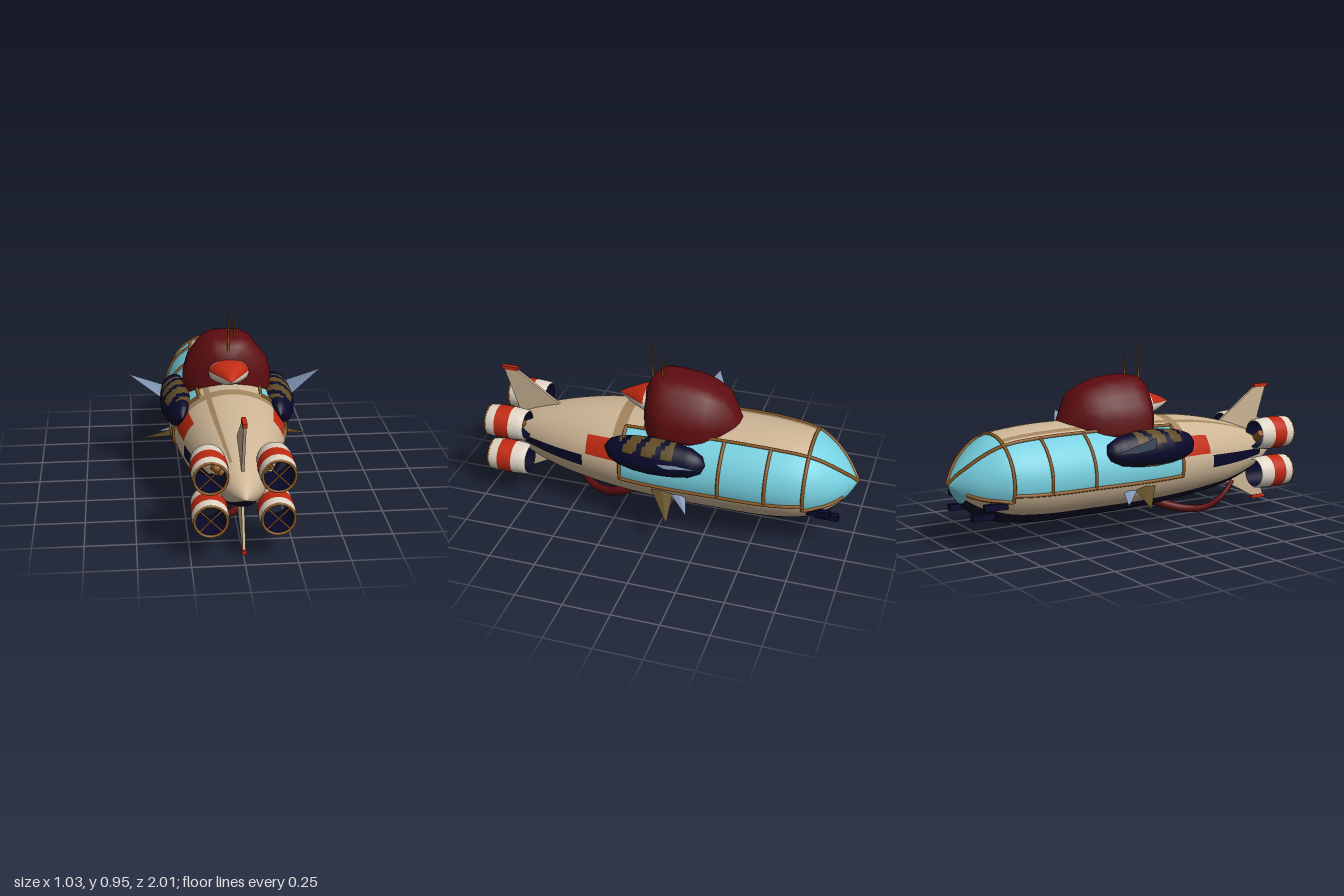
import * as THREE from 'three';
import { ConvexGeometry } from 'three/addons/geometries/ConvexGeometry.js';

const mat = (name, color, extra = {}) => Object.assign(new THREE.MeshStandardMaterial({ color, ...extra }), { name });
const range = (a, b, n) => Array.from({ length: n + 1 }, (_, i) => a + (b - a) * i / n);
const V = (x, y, z) => new THREE.Vector3(x, y, z);

export function createModel() {
  const root = new THREE.Group();
  const M = {
    cream: mat('cream', 0xcdb595), navy: mat('navy', 0x08082a), red: mat('red', 0xc02a12),
    glass: mat('glass', 0x76cfdf), maroon: mat('maroon', 0x5e0c10), bronze: mat('bronze', 0x8e5a22),
    tan: mat('tan', 0xa2845e), white: mat('white', 0xe0d6c6), olive: mat('olive', 0x5e4a24),
    steel: mat('steel', 0x8093b4),
  };
  const keys = Object.keys(M), mats = Object.values(M);

  const add = (name, geo, material, parent = root) => {
    const m = new THREE.Mesh(geo, material);
    m.name = name;
    parent.add(m);
    return m;
  };

  // Closed loft along z; paint(z, angle) names the colour of each cell
  function loft(name, zs, cols, point, paint, flat = false) {
    const pos = [], faces = {}, step = 360 / cols;
    for (const z of zs) for (let j = 0; j < cols; j++) pos.push(...point(z, -90 + j * step));
    for (let i = 0; i < zs.length - 1; i++) for (let j = 0; j < cols; j++) {
      const k = (j + 1) % cols, a = i * cols + j, b = i * cols + k, c = b + cols, d = a + cols;
      const key = paint((zs[i] + zs[i + 1]) / 2, -90 + (j + 0.5) * step);
      (faces[key] ??= []).push(a, b, c, a, c, d);
    }
    let geo = new THREE.BufferGeometry();
    geo.setAttribute('position', new THREE.Float32BufferAttribute(pos, 3));
    geo.setIndex(Object.values(faces).flat());
    if (flat) geo = geo.toNonIndexed();
    geo.computeVertexNormals();
    let start = 0;
    for (const [key, f] of Object.entries(faces)) {
      geo.addGroup(start, f.length, keys.indexOf(key));
      start += f.length;
    }
    return add(name, geo, mats);
  }
  const profile = (rows) => {
    const f = new THREE.LinearInterpolant(rows.map(r => r[0]), rows.flatMap(r => r.slice(1)), rows[0].length - 1);
    return z => Array.from(f.evaluate(z));
  };
  const smoothProfile = (rows) => {
    const f = new THREE.CubicInterpolant(rows.map(r => r[0]), rows.flatMap(r => r.slice(1)), rows[0].length - 1);
    return z => Array.from(f.evaluate(z));
  };
  const tube = (name, pts, r, material, n = 24) =>
    add(name, new THREE.TubeGeometry(new THREE.CatmullRomCurve3(pts), n, r, 6), material);

  // Hull: z, half width, top, bottom
  const hullAt = smoothProfile([
    [-1, 0, .325, .325], [-.97, .055, .375, .265], [-.93, .12, .425, .215], [-.88, .175, .475, .17],
    [-.82, .222, .52, .14], [-.76, .255, .55, .115], [-.6, .288, .575, .092], [-.3, .3, .583, .087],
    [0, .3, .578, .09], [.2, .287, .57, .1], [.4, .255, .55, .118], [.6, .2, .51, .145],
    [.76, .14, .46, .19], [.9, .075, .395, .255], [1, 0, .33, .33]]);
  const hullPoint = (z, deg, off = 0) => {
    const [w, t, b] = hullAt(z), a = THREE.MathUtils.degToRad(deg);
    return [(w + off) * Math.cos(a), (t + b) / 2 + ((t - b) / 2 + off) * Math.sin(a), z];
  };
  loft('hull', range(-1, 1, 100), 120, hullPoint, (z, a) => {
    const s = a > 90 ? 180 - a : a;
    if (z < -.93 || (z < -.76 && s > -21)) return 'glass';
    if (s < -42) return 'navy';
    if (z < -.76) return 'cream';
    if (z < .2 && s > -12 && s < 57) return 'glass';
    if (z > .42 && z < .84 && Math.abs(s) < 9) return 'navy';
    if (z > .2 && z < .4 && s > 12 && s < 39) return 'red';
    if (a > 111 && a < 117 && z < .8) return 'tan';
    if (z > .2 && z < .26 && s > 39) return 'tan';
    return 'cream';
  });

  // Window frames
  const ring = (z, a0, a1) => tube('windowRib', range(a0, a1, 24).map(a => V(...hullPoint(z, a, .003))), .009, M.bronze, 40);
  const rail = (a, z0, z1) => tube('windowRail', range(z0, z1, 14).map(z => V(...hullPoint(z, a, .003))), .009, M.bronze, 40);
  ring(-.76, -21, 201);
  for (const z of [.2, -.33, -.57]) { ring(z, -12, 57); ring(z, 123, 192); }
  for (const a of [-12, 57, 123, 192]) rail(a, .2, -.76);
  for (const a of [57, 123]) rail(a, -.76, -1);
  for (const a of [-21, 201]) rail(a, -.76, -.94);

  // Canopy hood: z, half width, top
  const hoodRows = [[-.385, 0, .56], [-.37, .07, .59], [-.3, .145, .73], [-.22, .195, .765], [-.14, .22, .79],
    [-.02, .235, .8], [.05, .225, .8], [.1, .16, .77], [.13, .08, .71], [.135, 0, .62]];
  const hoodAt = profile(hoodRows);
  loft('hood', hoodRows.map(r => r[0]), 24, (z, deg) => {
    const [w, t] = hoodAt(z), a = THREE.MathUtils.degToRad(deg), c = Math.cos(a), s = Math.sin(a);
    const ripple = 1 + .02 * Math.cos(8 * a + Math.PI);
    return [w * Math.sign(c) * Math.abs(c) ** .85 * ripple, .53 + (s > 0 ? (t - .53) * ripple : .06) * s, z];
  }, () => 'maroon');

  // Beak
  const beakAt = profile([[.08, .1, .066], [.13, .104, .067], [.18, .075, .052], [.24, .035, .027], [.29, 0, 0]]);
  loft('beak', [.08, .13, .16, .18, .21, .24, .27, .29], 30, (z, deg) => {
    const [w, h] = beakAt(z), a = THREE.MathUtils.degToRad(deg);
    return [w * Math.cos(a), .638 + h * Math.sin(a), z];
  }, (z, a) => z > .13 && a > 0 && a < 180 ? 'red' : 'white');

  // Antennae
  for (const [x, y0, y1, z] of [[0, .73, .945, .105], [.036, .76, .895, .04]])
    add('antenna', new THREE.CylinderGeometry(.003, .007, y1 - y0, 8).translate(x, (y0 + y1) / 2, z), M.bronze);

  // Tail fins with red tips
  const plate = (name, pts, t, material) => {
    const g = new THREE.ExtrudeGeometry(new THREE.Shape(pts.map(p => new THREE.Vector2(-p[0], p[1]))), { depth: t, bevelEnabled: false });
    return add(name, g.translate(0, 0, -t / 2).rotateY(Math.PI / 2), material);
  };
  plate('topFin', [[.62, .49], [.87, .67], [.945, .67], [.86, .4], [.7, .4]], .014, M.cream);
  plate('bottomFin', [[.62, .18], [.87, .045], [.945, .045], [.86, .27], [.7, .27]], .014, M.cream);
  for (const y of [.677, .039])
    add('finTip', new THREE.BoxGeometry(.022, .02, .088).translate(0, y, .911), M.red);

  // Ring engines
  const lathe = (pts) => new THREE.LatheGeometry(pts.map(p => new THREE.Vector2(...p)), 32).rotateX(Math.PI / 2);
  for (const side of [-1, 1]) for (const y of [.433, .217]) {
    const g = new THREE.Group();
    g.name = 'engine';
    g.position.set(.157 * side, y, 0);
    root.add(g);
    add('frontShell', lathe([[.074, .76], [.083, .765], [.086, .8], [.088, .84]]), M.white, g);
    add('redBand', lathe([[.088, .84], [.089, .88], [.088, .92]]), M.red, g);
    add('rearShell', lathe([[.088, .92], [.086, .95], [.081, .978]]), M.white, g);
    add('innerLining', lathe([[.078, .975], [.079, .87], [.074, .76]]), M.navy, g);
    add('rim', new THREE.TorusGeometry(.077, .007, 8, 32).translate(0, 0, .972), M.bronze, g);
    for (const r of [1, -1])
      add('spoke', new THREE.CylinderGeometry(.004, .004, .152, 6).rotateZ(r * Math.PI / 4).translate(0, 0, .968), M.bronze, g);
    if (y > .3)
      add('mount', new THREE.CylinderGeometry(.02, .024, .09, 10).rotateZ(-side * .9).translate(-.055 * side, -.03, .82), M.bronze, g);
  }

  // Side pods: z, centre x, half width, half height
  const podRows = [[-.26, .28, 0, 0], [-.24, .28, .03, .045], [-.18, .278, .056, .075], [-.08, .272, .072, .092],
    [.03, .27, .076, .096], [.12, .267, .07, .09], [.2, .262, .05, .075], [.26, .256, .032, .05], [.29, .25, 0, 0]];
  const podAt = profile(podRows);
  const podPoint = (z, deg) => {
    const [cx, w, h] = podAt(z), a = THREE.MathUtils.degToRad(deg), t = .45;
    const x = w * Math.cos(a), y = h * Math.sin(a);
    return [cx + x * Math.cos(t) - y * Math.sin(t), .452 + x * Math.sin(t) + y * Math.cos(t), z];
  };
  const podPaint = (z, deg) => {
    const a = (deg + 360) % 360;
    if (z > -.1 && z < .2 && a > 0 && a < 130) return Math.floor((z + .1 + a * .0006) / .035) % 3 === 2 ? 'navy' : 'olive';
    if (z > -.04 && z < .12 && a > 235 && a < 285) return 'tan';
    return 'navy';
  };
  const podZ = [...range(-.26, -.18, 4), ...range(-.16, .2, 24), ...range(.22, .29, 4)];

  for (const side of [1, -1]) {
    const label = side > 0 ? 'left' : 'right';
    loft(label + 'Pod', podZ, 36,
      (z, a) => { const p = podPoint(z, side > 0 ? a : 180 - a); p[0] *= side; return p; },
      (z, a) => podPaint(z, side > 0 ? a : 180 - a));

    // Tapered side fins with a thin diamond section
    const fin = (name, a, b, tip, material) => {
      const p = [a, b, tip].map(q => V(q[0] * side, q[1], q[2]));
      const mid = p[0].clone().lerp(p[1], .5);
      add(name, new ConvexGeometry([...p, mid.clone().setY(mid.y + .012), mid.clone().setY(mid.y - .012)]), material);
    };
    fin(label + 'UpperFin', [.3, .43, .02], [.3, .43, -.25], [.517, .555, -.12], M.steel);
    fin(label + 'LowerFin', [.28, .255, .03], [.28, .245, -.09], [.46, .185, -.11], M.olive);
    fin(label + 'RearFin', [.28, .24, -.08], [.28, .235, -.16], [.37, .19, -.185], M.steel);

    // Nose probes
    for (const [x, y, z] of [[.205, .235, -.86], [.135, .175, -.875]])
      add('noseProbe', new THREE.BoxGeometry(.032, .032, .12).translate(x * side, y, z + (y > .2 ? .02 : 0)), M.navy);
  }

  // Belly hose, thickening towards the nose
  const hosePath = new THREE.CatmullRomCurve3([V(-.08, .17, .67), V(-.08, .09, .6), V(-.04, .03, .52),
    V(.02, .02, .44), V(.08, .045, .33), V(.105, .09, .24), V(.1, .13, .17)]);
  const hose = new THREE.TubeGeometry(hosePath, 36, 1, 12);
  const hp = hose.attributes.position, v = V(0, 0, 0);
  for (let i = 0; i < hp.count; i++) {
    const t = Math.floor(i / 13) / 36, c = hosePath.getPointAt(t);
    v.fromBufferAttribute(hp, i).sub(c).multiplyScalar(.012 + .018 * t).add(c);
    hp.setXYZ(i, v.x, v.y, v.z);
  }
  add('bellyHose', hose, M.maroon);
  return root;
}
